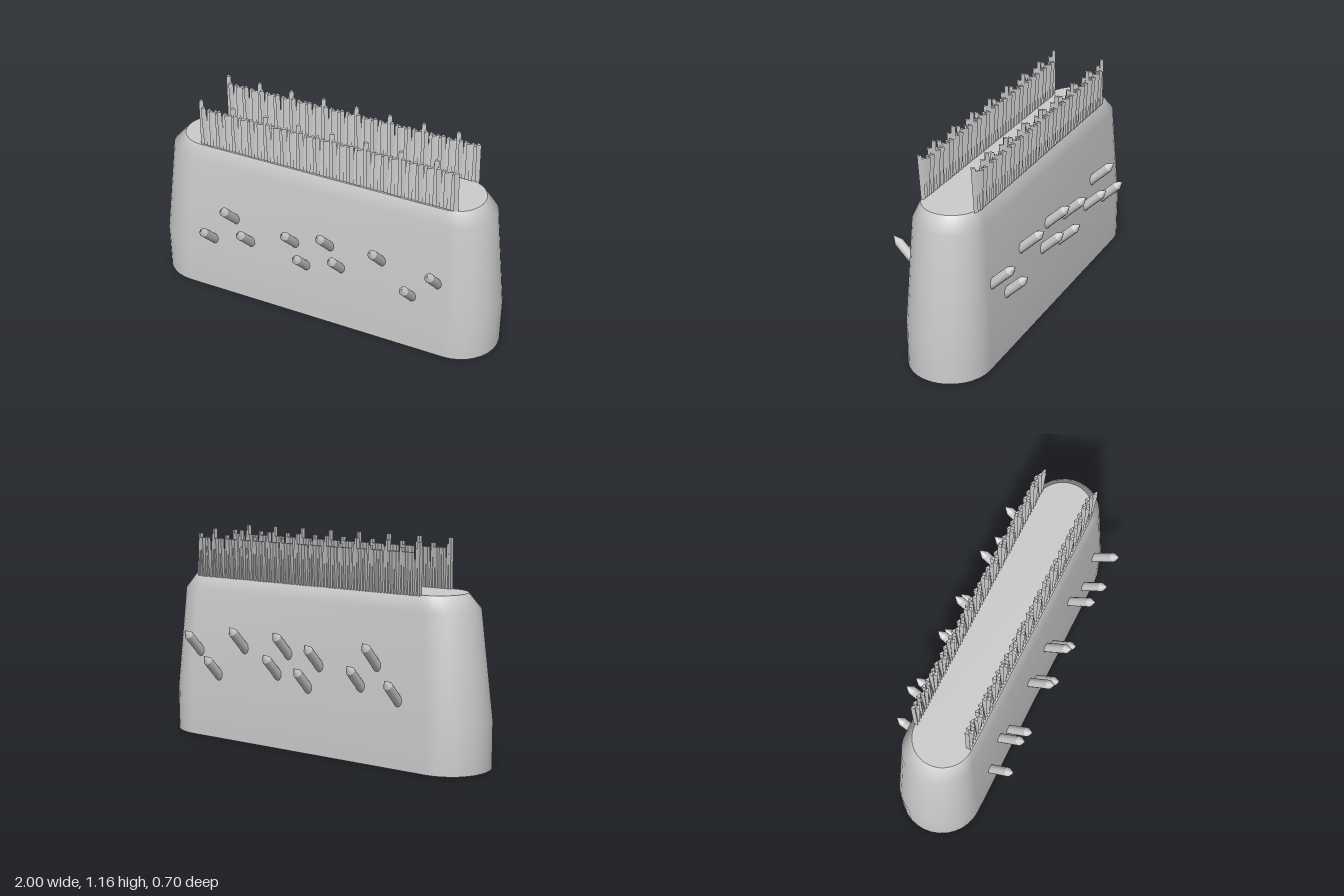
import * as THREE from 'three';

const smooth = () => new THREE.MeshStandardMaterial({ color: 0xcccccc, side: THREE.DoubleSide });

// Stadium outline: half length hx, half depth hz, n steps per round end
function stadium(hx, hz, n = 16) {
  const pts = [];
  for (const side of [1, -1]) {
    for (let i = 0; i <= n; i++) {
      const a = (i / n - 0.5) * Math.PI;
      pts.push([side * (hx - hz + hz * Math.cos(a)), side * hz * Math.sin(a)]);
    }
  }
  return pts;
}

// Open-bottomed shell lofted through stadium sections
function shellGeometry(sections) {
  const pos = [], idx = [];
  let n = 0;
  for (const [y, hx, hz, cx, cz] of sections) {
    const ring = stadium(hx, hz);
    n = ring.length;
    for (const [x, z] of ring) pos.push(x + cx, y, z + cz);
  }
  for (let r = 0; r < sections.length - 1; r++) {
    for (let i = 0; i < n; i++) {
      const a = r * n + i, b = r * n + (i + 1) % n;
      idx.push(a, a + n, b, b, a + n, b + n);
    }
  }
  const g = new THREE.BufferGeometry();
  g.setAttribute('position', new THREE.Float32BufferAttribute(pos, 3));
  g.setIndex(idx);
  g.computeVertexNormals();
  return g;
}

export function createModel() {
  const root = new THREE.Group();
  const mat = smooth();
  const flat = new THREE.MeshStandardMaterial({ color: 0xcccccc, flatShading: true });
  const add = (parent, geo, material, name) => {
    const m = new THREE.Mesh(geo, material);
    m.name = name;
    parent.add(m);
    return m;
  };

  // Body: y, half length, half depth, centre x, centre z
  const sections = [
    [0, 1, 0.225, 0, -0.01],
    [0.25, 1, 0.225, 0, -0.01],
    [0.815, 0.935, 0.192, 0.005, -0.01],
    [0.895, 0.865, 0.158, 0.012, -0.005],
  ];
  add(root, shellGeometry(sections), mat, 'bodyShell');

  // Flat top
  const [topY, hx, hz, cx, cz] = sections[3];
  const outline = new THREE.Shape(stadium(hx, hz).map(([x, z]) => new THREE.Vector2(x, z)));
  const lid = add(root, new THREE.ShapeGeometry(outline).rotateX(-Math.PI / 2), mat, 'bodyTop');
  lid.position.set(cx, topY, cz);

  // Two rows of three-sided bristles: upright ones, leaning ones, and a tall one every tenth
  const bristles = new THREE.Group();
  bristles.name = 'bristles';
  root.add(bristles);
  const strand = new THREE.CylinderGeometry(0.016, 0.016, 1, 3).rotateY(Math.PI / 2).translate(0, 0.5, 0);
  for (const z of [0.135, -0.16]) {
    for (let i = 0; i < 77; i++) {
      const tall = i % 10 === 0;
      const kind = tall ? 0 : [0, 1, -1, 0, -1][i % 5];
      const b = add(bristles, strand, flat, 'bristle');
      b.position.set(-0.685 + i * 0.01915, 0.89, z);
      b.scale.set(0.9, tall ? 0.27 : kind > 0 ? 0.237 : 0.217, 0.9);
      b.rotation.x = kind * 0.06;
    }
  }

  // Pointed spikes slanting up and out of both long sides: x, tip height
  const spikes = new THREE.Group();
  spikes.name = 'spikes';
  root.add(spikes);
  const r = 0.025;
  const shaft = new THREE.CylinderGeometry(r, r, 0.22, 12).translate(0, -0.155, 0);
  const point = new THREE.ConeGeometry(r, 0.045, 12).translate(0, -0.0225, 0);
  const places = [
    [-0.605, 0.48], [-0.47, 0.655], [-0.375, 0.53], [-0.107, 0.61], [-0.038, 0.48],
    [0.1, 0.655], [0.168, 0.53], [0.4, 0.655], [0.58, 0.48], [0.717, 0.61],
  ];
  for (const side of [1, -1]) {
    for (const [x, y] of places) {
      const s = new THREE.Group();
      s.name = side > 0 ? 'frontSpike' : 'backSpike';
      add(s, shaft, mat, 'spikeShaft');
      add(s, point, mat, 'spikeTip');
      s.position.set(x, y, side * 0.35);
      s.rotation.x = side * Math.PI / 4;
      spikes.add(s);
    }
  }

  // Round-ended posts hanging inside the hollow body
  const post = new THREE.CapsuleGeometry(0.024, 0.7, 4, 12);
  for (const z of [0.15, -0.17]) {
    for (const x of [-0.585, 0, 0.585]) {
      add(root, post, mat, 'innerPost').position.set(x, 0.43, z);
    }
  }
  return root;
}
